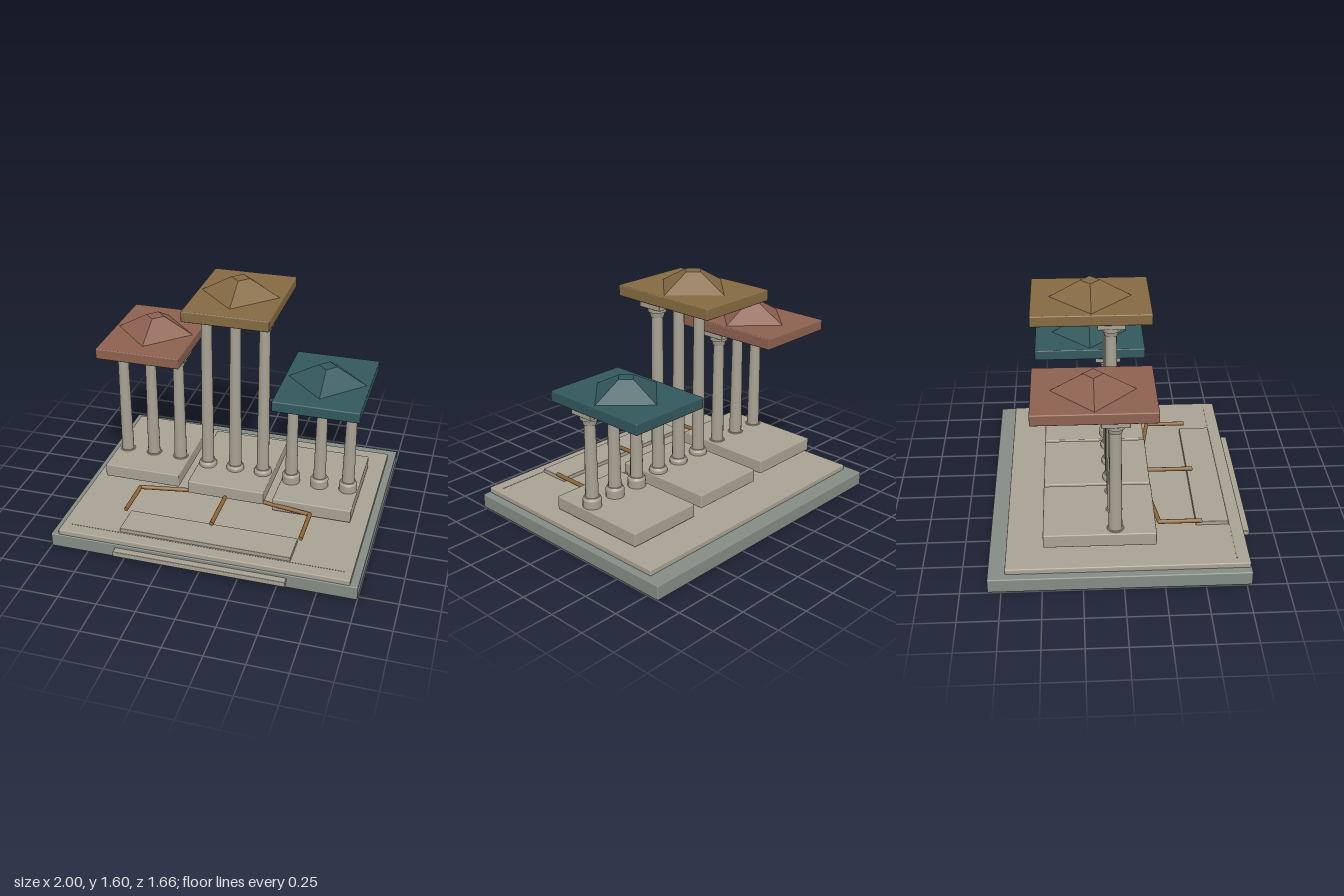
import * as THREE from 'three';
import { RoundedBoxGeometry } from 'three/addons/geometries/RoundedBoxGeometry.js';

const mat = (color, flatShading = false) => new THREE.MeshStandardMaterial({ color, flatShading });
const STONE = mat(0xa8a293), COLUMN = mat(0xa8a293), BASE = mat(0x848c85), BRONZE = mat(0x8f6637), JOINT = mat(0x8d897c);

function add(parent, name, geometry, material, x = 0, y = 0, z = 0) {
  const mesh = new THREE.Mesh(geometry, material);
  mesh.name = name;
  mesh.position.set(x, y, z);
  parent.add(mesh);
  return mesh;
}

// Softly rounded slab given by its extents
function slab(parent, name, material, [x0, x1], [y0, y1], [z0, z1], r = 0.007) {
  const g = new RoundedBoxGeometry(x1 - x0, y1 - y0, z1 - z0, 2, r);
  return add(parent, name, g, material, (x0 + x1) / 2, (y0 + y1) / 2, (z0 + z1) / 2);
}

// Round column: foot, tapered shaft and flared capital up to height top
function column(parent, x, top) {
  const g = new THREE.Group();
  g.name = 'column';
  g.position.set(x, 0, -0.045);
  parent.add(g);
  const drum = (name, rTop, rBottom, y0, y1) =>
    add(g, name, new THREE.CylinderGeometry(rTop, rBottom, y1 - y0, 16), COLUMN, 0, (y0 + y1) / 2, 0);
  drum('columnFoot', 0.06, 0.06, 0.23, 0.283);
  drum('columnFootBevel', 0.05, 0.06, 0.283, 0.3);
  drum('columnShaft', 0.035, 0.042, 0.29, top - 0.055);
  drum('capitalNeck', 0.05, 0.042, top - 0.062, top - 0.027);
  drum('capitalBlock', 0.062, 0.06, top - 0.027, top + 0.005);
}

// Pavilion: plinth, three columns, beam and hipped roof
function pavilion(parent, name, x, plinthY, roofY, color) {
  const g = new THREE.Group();
  g.name = name;
  g.position.x = x;
  parent.add(g);
  slab(g, 'plinth', STONE, [-0.26, 0.26], [plinthY, plinthY + 0.09], [-0.49, 0.205]);
  for (const i of [-1, 0, 1]) column(g, i * 0.193, roofY - 0.037);
  slab(g, 'beam', COLUMN, [-0.262, 0.262], [roofY - 0.037, roofY], [-0.13, 0.04], 0.004);
  slab(g, 'roofSlab', mat(color), [-0.28, 0.28], [roofY, roofY + 0.072], [-0.538, 0.205]);
  add(g, 'roofPeak', new THREE.CylinderGeometry(0.062, 0.26, 0.11, 4), mat(color, true), 0, roofY + 0.125, -0.166);
}

// Thin bronze channel through the given ground points
function channel(parent, points) {
  const path = new THREE.CurvePath();
  const p = points.map(([x, z]) => new THREE.Vector3(x, 0.182, z));
  for (let i = 1; i < p.length; i++) {
    const length = p[i].distanceTo(p[i - 1]);
    const m = add(parent, 'channel', new THREE.CylinderGeometry(0.014, 0.014, length, 10), BRONZE);
    m.position.copy(p[i]).add(p[i - 1]).multiplyScalar(0.5);
    m.quaternion.setFromUnitVectors(new THREE.Vector3(0, 1, 0), p[i].clone().sub(p[i - 1]).normalize());
    if (i > 1) add(parent, 'channelElbow', new THREE.SphereGeometry(0.014, 10, 8), BRONZE, ...p[i - 1].toArray());
  }
}

export function createModel() {
  const model = new THREE.Group();
  model.name = 'templeCourt';

  // Stepped platform
  slab(model, 'platform', BASE, [-1, 1], [0, 0.095], [-0.832, 0.785]);
  slab(model, 'deck', STONE, [-0.95, 0.95], [0.09, 0.13], [-0.725, 0.778]);
  slab(model, 'frontStep', STONE, [-0.56, 0.56], [0.036, 0.072], [0.7, 0.83], 0.004);
  slab(model, 'upperStep', STONE, [-0.56, 0.56], [0.125, 0.156], [0.48, 0.69], 0.004);

  // Fine paving joint along the front
  add(model, 'pavingJoint', new THREE.BoxGeometry(1.8, 0.002, 0.006), JOINT, 0, 0.1305, 0.697);

  // Three pavilions
  pavilion(model, 'rightPavilion', -0.583, 0.205, 1.092, 0x8d6150);
  pavilion(model, 'middlePavilion', 0, 0.172, 1.424, 0x856a42);
  pavilion(model, 'leftPavilion', 0.583, 0.14, 0.884, 0x33585c);

  // Channels running out from the middle pavilion
  channel(model, [[0, 0.515], [0, 0.145]]);
  for (const s of [-1, 1]) channel(model, [[s * 0.583, 0.515], [s * 0.583, 0.242], [0, 0.145]]);
  return model;
}
